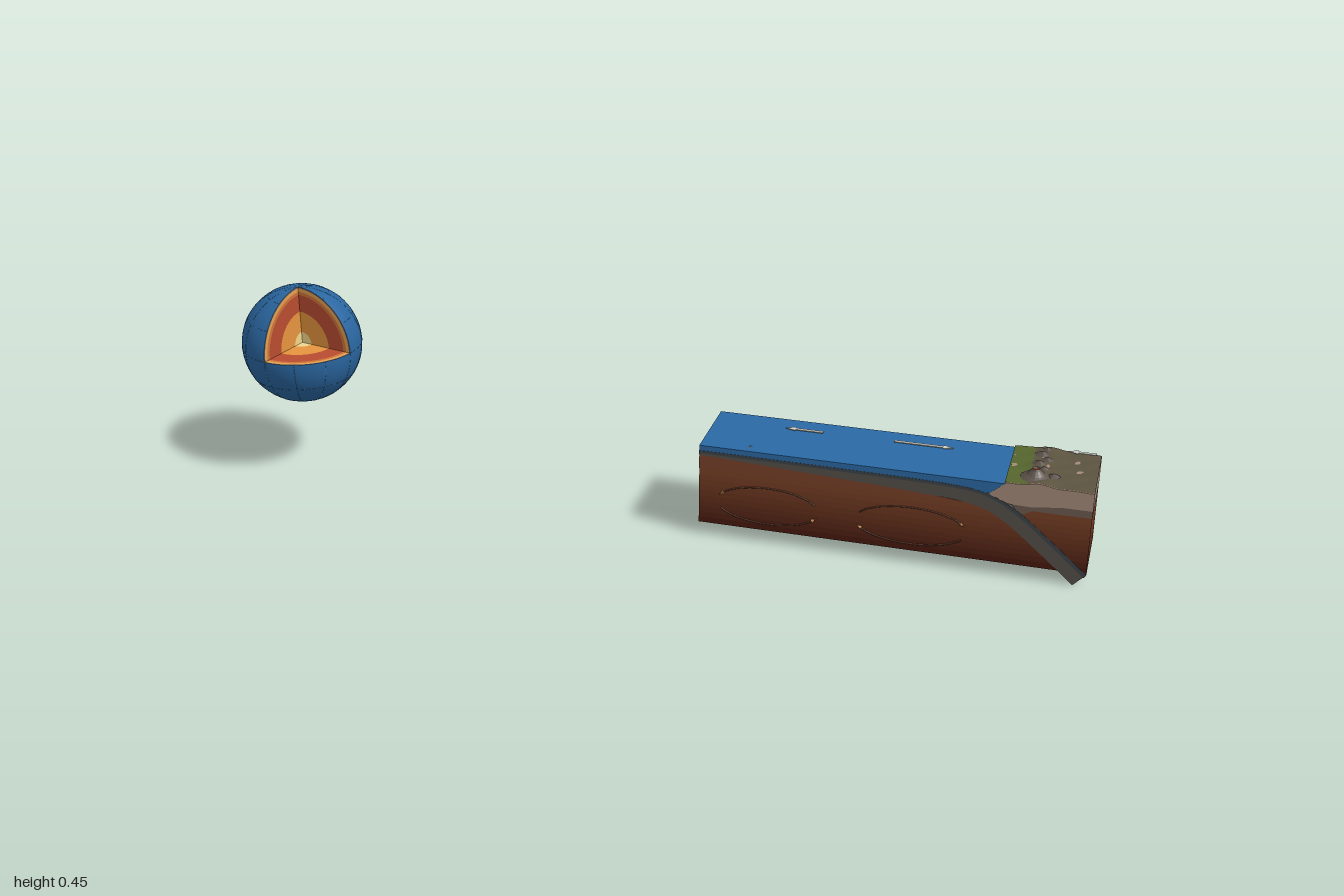
import * as THREE from 'three';

const HALF = 0.095; // half depth of the crust block
const X0 = 0.14, X1 = 0.995;

const mat = (color, extra = {}) => new THREE.MeshStandardMaterial({ color, ...extra });
function add(parent, name, geo, material, x = 0, y = 0, z = 0) {
  const m = new THREE.Mesh(geo, material);
  m.name = name;
  m.position.set(x, y, z);
  parent.add(m);
  return m;
}
const pts = list => list.map(p => new THREE.Vector2(p[0], p[1]));
const smooth = list => new THREE.SplineCurve(pts(list)).getPoints(32);

// Side profile (x, y) extruded through the block depth
function stratum(parent, name, color, points, half = HALF) {
  const geo = new THREE.ExtrudeGeometry(new THREE.Shape(points), { depth: half * 2, bevelEnabled: false });
  geo.translate(0, 0, -half);
  return add(parent, name, geo, mat(color));
}

// Globe with one upper octant cut away to show its layers
function buildGlobe() {
  const g = new THREE.Group();
  g.name = 'globe';
  const R = 0.14, Q = Math.PI / 2;
  const blue = mat(0x2a66a0);
  add(g, 'lowerHemisphere', new THREE.SphereGeometry(R, 64, 24, 0, Q * 4, Q, Q), blue);
  add(g, 'upperHemisphere', new THREE.SphereGeometry(R, 64, 24, Math.PI, Q * 3, 0, Q), blue);

  const layers = [
    ['innerCore', 0, 0.027, 0xf2d68c], ['outerCore', 0.027, 0.078, 0xe6943e],
    ['lowerMantle', 0.078, 0.12, 0xb84c30], ['upperMantle', 0.12, 0.128, 0xcf7438],
    ['asthenosphere', 0.128, 0.1365, 0xe6a052], ['globeCrust', 0.1365, R, 0x6e6258]];
  for (const [name, r0, r1, color] of layers) {
    const m = mat(color, { side: THREE.DoubleSide });
    const ring = start => new THREE.RingGeometry(r0, r1, 32, 1, start, Q);
    add(g, name + 'FaceA', ring(0), m);
    add(g, name + 'FaceB', ring(Q), m).rotation.y = Q;
    add(g, name + 'Floor', ring(-Q), m).rotation.x = -Q;
  }

  // Fine latitude and longitude lines
  const line = mat(0x3f78ad);
  for (let k = 0; k < 12; k++) {
    const inCut = k > 0 && k < 3;
    const geo = new THREE.TorusGeometry(R, 0.0004, 4, 40, inCut ? Q : Math.PI);
    geo.rotateZ(-Q);
    add(g, 'meridian', geo, line).rotation.y = -k * Math.PI / 6;
  }
  for (let k = -2; k <= 2; k++) {
    const lat = k * Math.PI / 6;
    const geo = new THREE.TorusGeometry(R * Math.cos(lat), 0.0004, 4, 64, k > 0 ? Q * 3 : Q * 4);
    add(g, 'parallel', geo, line, 0, R * Math.sin(lat), 0).rotation.set(Q, 0, Q);
  }
  g.position.set(-0.86, 0.31, 0);
  g.rotation.y = -THREE.MathUtils.degToRad(12);
  return g;
}

// Gently uneven land surface
const landHeight = (x, z) => 0.223 + 0.006 * Math.exp(-(((x - 0.88) / 0.03) ** 2))
  + 0.0012 * Math.sin(x * 90 + z * 40) * Math.cos(z * 75);

function buildLand(parent, name, color, xa, xb) {
  const geo = new THREE.PlaneGeometry(xb - xa, HALF * 2, 16, 20);
  geo.rotateX(-Math.PI / 2);
  geo.translate((xa + xb) / 2, 0, 0);
  const p = geo.attributes.position;
  for (let i = 0; i < p.count; i++) p.setY(i, landHeight(p.getX(i), p.getZ(i)));
  geo.computeVertexNormals();
  add(parent, name, geo, mat(color, { side: THREE.DoubleSide }));
}

// Flat motion arrow; dir is +1 or -1 along x
function arrow(parent, xa, xb, y, z, dir) {
  const L = xb - xa, h = 0.022;
  const s = new THREE.Shape(pts([[0, -0.004], [L - h, -0.004], [L - h, -0.009], [L, 0],
    [L - h, 0.009], [L - h, 0.004], [0, 0.004]]));
  const geo = new THREE.ExtrudeGeometry(s, { depth: 0.002, bevelEnabled: false });
  geo.rotateX(-Math.PI / 2);
  if (dir < 0) geo.rotateY(Math.PI);
  add(parent, 'motionArrow', geo, mat(0xd2d2cc), dir > 0 ? xa : xb, y, z);
}

function buildBlock() {
  const g = new THREE.Group();
  g.name = 'crustBlock';

  // Mantle in bands that darken with depth
  const bands = 10, yLow = 0.03, yHigh = 0.163, h = (yHigh - yLow) / bands;
  const deep = new THREE.Color(0x48190f), shallow = new THREE.Color(0x7a4026);
  for (let i = 0; i < bands; i++) {
    const color = deep.clone().lerp(shallow, i / (bands - 1));
    add(g, 'mantleBand', new THREE.BoxGeometry(X1 - X0 - 0.001, h, HALF * 2 - 0.001), mat(color),
      (X0 + X1) / 2, yLow + h * (i + 0.5), 0);
  }
  stratum(g, 'mantleTop', 0x7a4228, pts([[X0, 0.163], [0.74, 0.163], [0.6, 0.176], [X0, 0.198]]), HALF - 0.0005);

  // Oceanic plate bending down under the continent
  const top = [[X0, 0.207], [0.45, 0.206], [0.68, 0.203], [0.77, 0.192], [0.84, 0.158], [0.92, 0.093], [X1, 0.028]];
  const under = [[0.968, 0.0], [0.89, 0.068], [0.81, 0.132], [0.74, 0.162], [0.62, 0.173], [0.4, 0.184], [X0, 0.196]];
  stratum(g, 'oceanicPlate', 0x55504a, [...smooth(top), ...smooth(under)]);
  const lowered = top.map(([x, y]) => [x - (x > 0.8 ? 0.005 : 0), y - 0.007]).reverse();
  stratum(g, 'oceanicCrust', 0x3c444a, [...smooth(top), ...smooth(lowered)], HALF + 0.0005);

  // Sea water
  stratum(g, 'ocean', 0x2a6aa5, [...smooth(top.slice(0, 4)), ...pts([[0.79, 0.195], [0.815, 0.219], [X0, 0.219]])]);

  // Continental layers
  stratum(g, 'continentalLithosphere', 0x6c5c50, pts([[0.835, 0.161], [0.85, 0.152],
    [0.87, 0.163], [X1, 0.163], [X1, 0.182], [0.82, 0.182]]));
  const crustTop = [];
  for (let i = 0; i <= 12; i++) {
    const x = X1 - (X1 - 0.812) * i / 12;
    crustTop.push([x, landHeight(x, HALF) - 0.0015]);
  }
  stratum(g, 'continentalCrust', 0xa58c7a, pts([[0.775, 0.19], [0.82, 0.173], [0.87, 0.172],
    [0.93, 0.18], [X1, 0.18], ...crustTop]), HALF + 0.0003);
  buildLand(g, 'coastalLand', 0x56662e, 0.808, 0.855);
  buildLand(g, 'uplands', 0x5c5440, 0.855, X1);

  // Volcano with a crater and a row of smaller peaks
  const rock = mat(0x584e46, { flatShading: true });
  const volcano = new THREE.LatheGeometry(pts([[0.033, 0], [0.02, 0.007], [0.011, 0.016],
    [0.008, 0.021], [0.005, 0.017], [0, 0.016]]), 16);
  add(g, 'volcano', volcano, mat(0x5e534b, { flatShading: true, side: THREE.DoubleSide }), 0.868, 0.225, 0.055);
  add(g, 'lava', new THREE.CylinderGeometry(0.006, 0.006, 0.001, 12), mat(0xc8542a), 0.868, 0.2425, 0.055);
  const peaks = [[0.88, -0.082, 0.016, 0.008], [0.872, -0.058, 0.02, 0.009], [0.885, -0.03, 0.018, 0.008],
    [0.87, -0.008, 0.019, 0.009], [0.882, 0.018, 0.016, 0.008], [0.905, 0.045, 0.015, 0.007]];
  peaks.forEach(([x, z, r, ht], i) => {
    add(g, 'mountain', new THREE.ConeGeometry(r, ht, 7), rock, x, 0.226 + ht / 2, z).rotation.y = i;
  });
  add(g, 'seamount', new THREE.ConeGeometry(0.007, 0.004, 8), mat(0x3a4450), 0.25, 0.22, 0.07);

  // Plate motion arrows
  arrow(g, 0.305, 0.39, 0.222, -0.04, -1);
  arrow(g, 0.55, 0.68, 0.222, -0.04, 1);
  arrow(g, 0.925, 0.985, 0.248, -0.04, -1);

  // Convection loops on the front: two arcs each, with arrowheads
  const cy = 0.092, ry = 0.044, a0 = THREE.MathUtils.degToRad(23);
  [[0.298, 0.115, 1], [0.615, 0.122, -1]].forEach(([cx, rx, dir]) => {
    const loop = new THREE.Group();
    loop.name = 'convectionLoop';
    for (const start of [0, Math.PI]) {
      const at = t => {
        const a = start + (dir > 0 ? a0 + t * (Math.PI - 2 * a0) : Math.PI - a0 - t * (Math.PI - 2 * a0));
        return new THREE.Vector3(rx * Math.cos(a), ry * Math.sin(a), 0);
      };
      const path = new THREE.CatmullRomCurve3(Array.from({ length: 17 }, (_, i) => at(i / 16)));
      add(loop, 'flowLine', new THREE.TubeGeometry(path, 40, 0.0016, 6), mat(0x8a5640));
      const tip = add(loop, 'flowHead', new THREE.ConeGeometry(0.0045, 0.013, 8), mat(0xd08a50));
      tip.position.copy(at(1));
      tip.quaternion.setFromUnitVectors(new THREE.Vector3(0, 1, 0), path.getTangent(1));
    }
    loop.position.set(cx, cy, 0.0985);
    g.add(loop);
  });
  return g;
}

export function createModel() {
  const model = new THREE.Group();
  model.name = 'plateTectonicsModel';
  model.add(buildGlobe(), buildBlock());
  return model;
}
